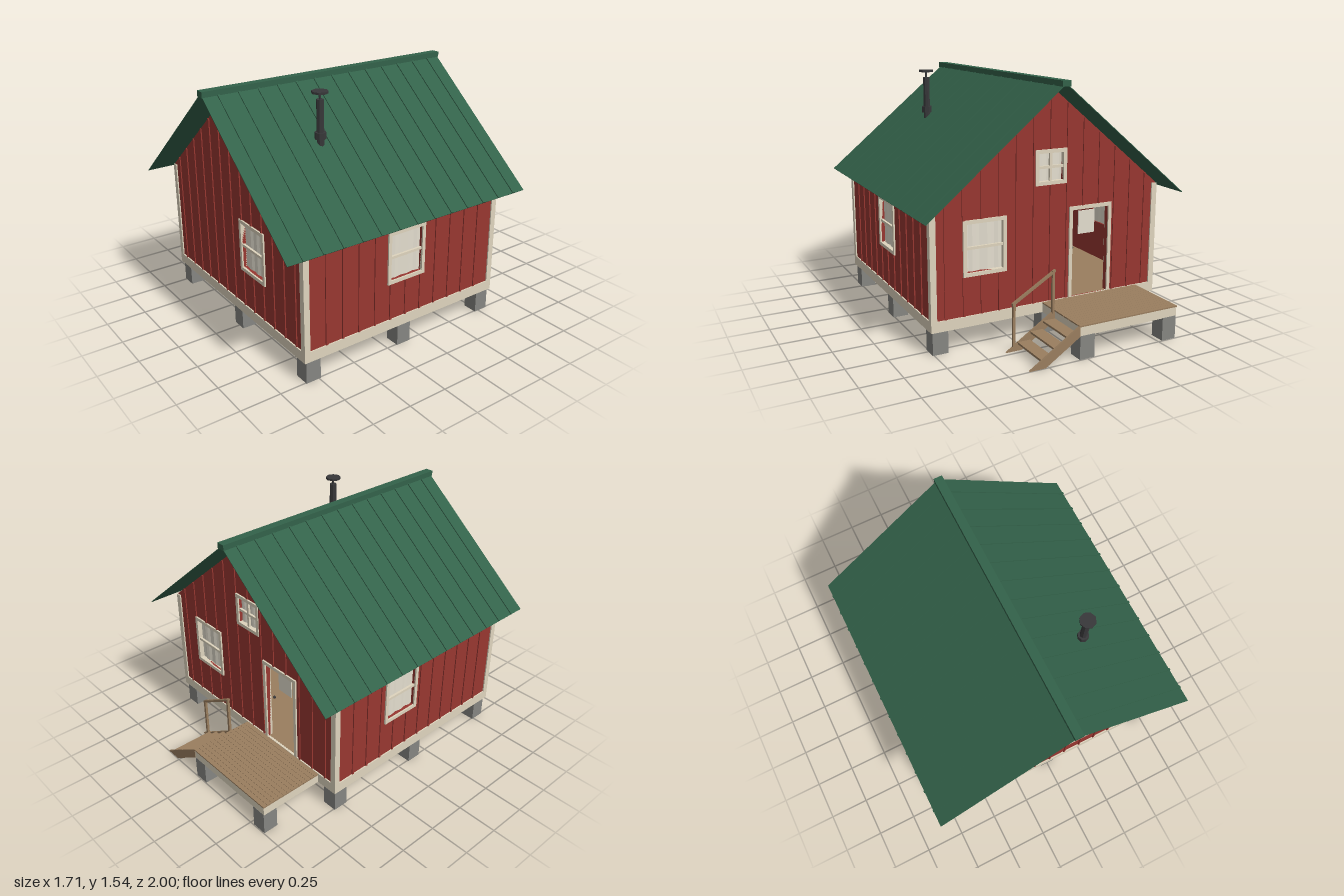
import * as THREE from 'three';

const mat = (name, color) => {
  const m = new THREE.MeshStandardMaterial({ color });
  m.name = name;
  return m;
};

export function createModel() {
  const red = mat('barn red', 0x983731);
  const green = mat('roof green', 0x33624a);
  const trim = mat('trim beige', 0xdfd5be);
  const curtainMat = mat('curtain cream', 0xe4decf);
  const stone = mat('pier grey', 0x868682);
  const wood = mat('floor wood', 0x9a7e5f);
  const iron = mat('stove iron', 0x38383a);
  curtainMat.side = THREE.DoubleSide;

  const root = new THREE.Group();
  root.name = 'cabin';
  const group = (name, x, y, z, parent = root) => {
    const g = new THREE.Group();
    g.name = name;
    g.position.set(x, y, z);
    parent.add(g);
    return g;
  };
  const add = (name, geo, m, parent = root) => {
    const mesh = new THREE.Mesh(geo, m);
    mesh.name = name;
    parent.add(mesh);
    return mesh;
  };
  // box from min and max corners
  const box = (name, m, x0, x1, y0, y1, z0, z1, parent = root) => {
    const b = add(name, new THREE.BoxGeometry(x1 - x0, y1 - y0, z1 - z0), m, parent);
    b.position.set((x0 + x1) / 2, (y0 + y1) / 2, (z0 + z1) / 2);
    return b;
  };
  // extruded outline with rectangular holes [cx, cy, w, h]
  const extrude = (pts, depth, holes = []) => {
    const s = new THREE.Shape(pts.map((p) => new THREE.Vector2(...p)));
    for (const [cx, cy, w, h] of holes)
      s.holes.push(new THREE.Path([[-1, -1], [-1, 1], [1, 1], [1, -1]]
        .map(([i, j]) => new THREE.Vector2(cx + i * w / 2, cy + j * h / 2))));
    return new THREE.ExtrudeGeometry(s, { depth, bevelEnabled: false });
  };

  const W = 0.77, ZF = 0.85, ZB = -0.58, ZC = 0.135, SLOPE = 0.825, CASE = 0.022;
  const gableY = (x) => 1.49 - SLOPE * Math.abs(x);

  // piers under house and deck
  const pier = (x, z) => box('pier', stone, x - 0.048, x + 0.048, 0, 0.142, z - 0.048, z + 0.048);
  for (const x of [-0.71, 0, 0.71]) for (const z of [0.787, 0.134, -0.519]) pier(x, z);
  for (const x of [-0.575, 0]) pier(x, -0.948);

  // wooden floor with beam around it
  box('floor', wood, -W + 0.015, W - 0.015, 0.138, 0.205, ZB + 0.015, ZF - 0.015);
  for (const s of [-1, 1])
    box('sideBeam', trim, s * (W - 0.01) - 0.01, s * (W - 0.01) + 0.01, 0.14, 0.204, ZB, ZF);
  box('frontBeam', trim, -W, W, 0.14, 0.204, ZF - 0.02, ZF);
  box('backBeam', trim, -W, W, 0.14, 0.204, ZB, ZB + 0.02);

  // window in a wall, with casing, rails and pleated curtain
  const makeWindow = (wall, [cx, cy, w, h], cross) => {
    const g = group('window', cx, cy, 0, wall);
    const a = w / 2, b = h / 2;
    add('windowCasing', extrude([[-a, -b], [a, -b], [a, b], [-a, b]], 0.035,
      [[0, 0, w - 2 * CASE, h - 2 * CASE]]), trim, g).position.z = -0.033;
    box('meetingRail', trim, -a + CASE, a - CASE, -0.008, 0.008, -0.02, -0.006, g);
    if (cross) box('mullion', trim, -0.008, 0.008, -b + CASE, b - CASE, -0.02, -0.006, g);
    const c = new THREE.PlaneGeometry(w - 0.04, h - 0.04, 10, 1).toNonIndexed();
    const p = c.attributes.position;
    for (let i = 0; i < p.count; i++)
      p.setZ(i, -0.027 + 0.004 * Math.sin(p.getX(i) * 75));
    c.computeVertexNormals();
    add('curtain', c, curtainMat, g);
  };

  // hollow wall facing local +z, with openings and split battens
  const makeWall = (name, pos, turn, outline, battens, topY, windows, doors = []) => {
    const g = group(name, ...pos);
    g.rotation.y = turn;
    const openings = [...windows, ...doors];
    const holes = openings.map(([x, y, w, h]) => [x, y, w - 2 * CASE, h - 2 * CASE]);
    add('wallPanel', extrude(outline, 0.03, holes), red, g).position.z = -0.038;
    for (let i = -battens; i <= battens; i++) {
      const x = i * 0.113;
      let y0 = 0.2;
      for (const [cx, cy, w, h] of openings) {
        if (Math.abs(x - cx) > w / 2) continue;
        if (cy - h / 2 > y0) box('batten', red, x - 0.006, x + 0.006, y0, cy - h / 2, -0.01, -0.001, g);
        y0 = cy + h / 2;
      }
      box('batten', red, x - 0.006, x + 0.006, y0, topY(Math.abs(x) + 0.006), -0.01, -0.001, g);
    }
    for (const o of windows) makeWindow(g, o, o[2] === o[3]);
    return g;
  };

  const wx = W - 0.008;
  const gable = [[-wx, 0.2], [wx, 0.2], [wx, gableY(wx)], [0, 1.49], [-wx, gableY(wx)]];
  const half = (ZF - ZB) / 2 - 0.03;
  const rect = [[-half, 0.2], [half, 0.2], [half, 0.855], [-half, 0.855]];
  const eave = () => 0.855;
  makeWall('frontWall', [0, 0, ZF], 0, gable, 6, gableY, [[0.228, 0.604, 0.275, 0.33]]);
  makeWall('leftWall', [W, 0, ZC], Math.PI / 2, rect, 5, eave, [[0, 0.604, 0.275, 0.33]]);
  makeWall('rightWall', [-W, 0, ZC], -Math.PI / 2, rect, 5, eave, [[-0.17, 0.604, 0.275, 0.33]]);
  const back = makeWall('backWall', [0, 0, ZB], Math.PI, gable, 6, gableY,
    [[-0.43, 0.604, 0.275, 0.33], [0, 1.025, 0.21, 0.21]], [[0.28, 0.476, 0.3, 0.588]]);

  // open doorway with casing, hanging pane and knob
  box('doorCasing', trim, 0.13, 0.152, 0.2, 0.77, -0.04, 0.002, back);
  box('doorCasing', trim, 0.408, 0.43, 0.2, 0.77, -0.04, 0.002, back);
  box('doorHead', trim, 0.13, 0.43, 0.748, 0.77, -0.04, 0.002, back);
  box('doorPane', curtainMat, 0.222, 0.338, 0.58, 0.725, -0.052, -0.046, back);
  add('doorKnob', new THREE.SphereGeometry(0.009, 8, 6), iron, back)
    .position.set(0.178, 0.5, -0.045);

  // corner boards
  for (const s of [-1, 1]) for (const [z0, z1] of [[ZF - 0.037, ZF], [ZB, ZB + 0.037]]) {
    const pts = [[0.733, 0.2], [W, 0.2], [W, 0.853], [0.733, 0.857]].map(([x, y]) => [s * x, y]);
    add('cornerBoard', extrude(pts, z1 - z0), trim).position.z = z0;
  }

  // thin roof panels with standing seams
  const ang = Math.atan(SLOPE);
  const len = 0.85 / Math.cos(ang);
  for (const s of [-1, 1]) {
    const side = group(s > 0 ? 'roofLeft' : 'roofRight', 0, 1.518, 0);
    if (s < 0) side.rotation.y = Math.PI;
    const tilt = group('roofSlope', 0, 0, 0, side);
    tilt.rotation.z = -ang;
    const z0 = s > 0 ? -0.73 : -0.995, z1 = s > 0 ? 0.995 : 0.73;
    box('roofPanel', green, 0, len, -0.002, 0.002, z0, z1, tilt);
    for (let i = -5; i <= 7; i++) {
      const z = s * i * 0.128;
      box('roofSeam', green, 0, len, 0, 0.008, z - 0.007, z + 0.007, tilt);
    }
  }
  box('ridgeCap', green, -0.027, 0.027, 1.502, 1.536, -0.735, 1);

  // stove pipe
  const pipe = group('stovePipe', 0.355, 0, 0.445);
  for (const [name, r, y0, y1] of [['pipe', 0.022, 1.19, 1.48], ['pipeCollar', 0.034, 1.25, 1.29],
    ['capStem', 0.007, 1.47, 1.52], ['rainCap', 0.049, 1.515, 1.528]]) {
    const g = new THREE.CylinderGeometry(r, r, y1 - y0, 8).toNonIndexed();
    g.computeVertexNormals();
    add(name, g, iron, pipe).position.y = (y0 + y1) / 2;
  }

  // deck boards on a trimmed frame
  box('deckBase', wood, -0.61, 0.035, 0.138, 0.198, -0.98, ZB);
  box('deckFascia', trim, -0.625, 0.05, 0.14, 0.198, -0.995, -0.98);
  box('deckFascia', trim, -0.625, -0.61, 0.14, 0.198, -0.98, ZB);
  box('deckFascia', trim, 0.035, 0.05, 0.14, 0.198, -0.98, ZB);
  for (let i = 0; i < 14; i++) {
    const z = -0.998 + i * 0.0298;
    box('deckBoard', wood, -0.628, 0.053, 0.196, 0.204, z, z + 0.0285);
  }

  // steps
  for (const z of [-0.998, -0.724]) {
    add('stringer', extrude([[0.05, 0.14], [0.27, 0], [0.37, 0], [0.05, 0.203]], 0.014), wood)
      .position.z = z;
  }
  for (let i = 0; i < 3; i++) {
    const x = 0.05 + i * 0.083, y = 0.146 - i * 0.05;
    box('tread', wood, x, x + 0.081, y - 0.006, y + 0.006, -0.99, -0.715);
  }

  // handrail beside the steps
  box('railPost', wood, 0.054, 0.07, 0.14, 0.445, -0.726, -0.71);
  box('railPost', wood, 0.312, 0.328, 0.02, 0.285, -0.726, -0.71);
  add('handrail', extrude([[0.05, 0.437], [0.33, 0.275], [0.33, 0.29], [0.05, 0.452]], 0.018), wood)
    .position.z = -0.727;

  return root;
}
